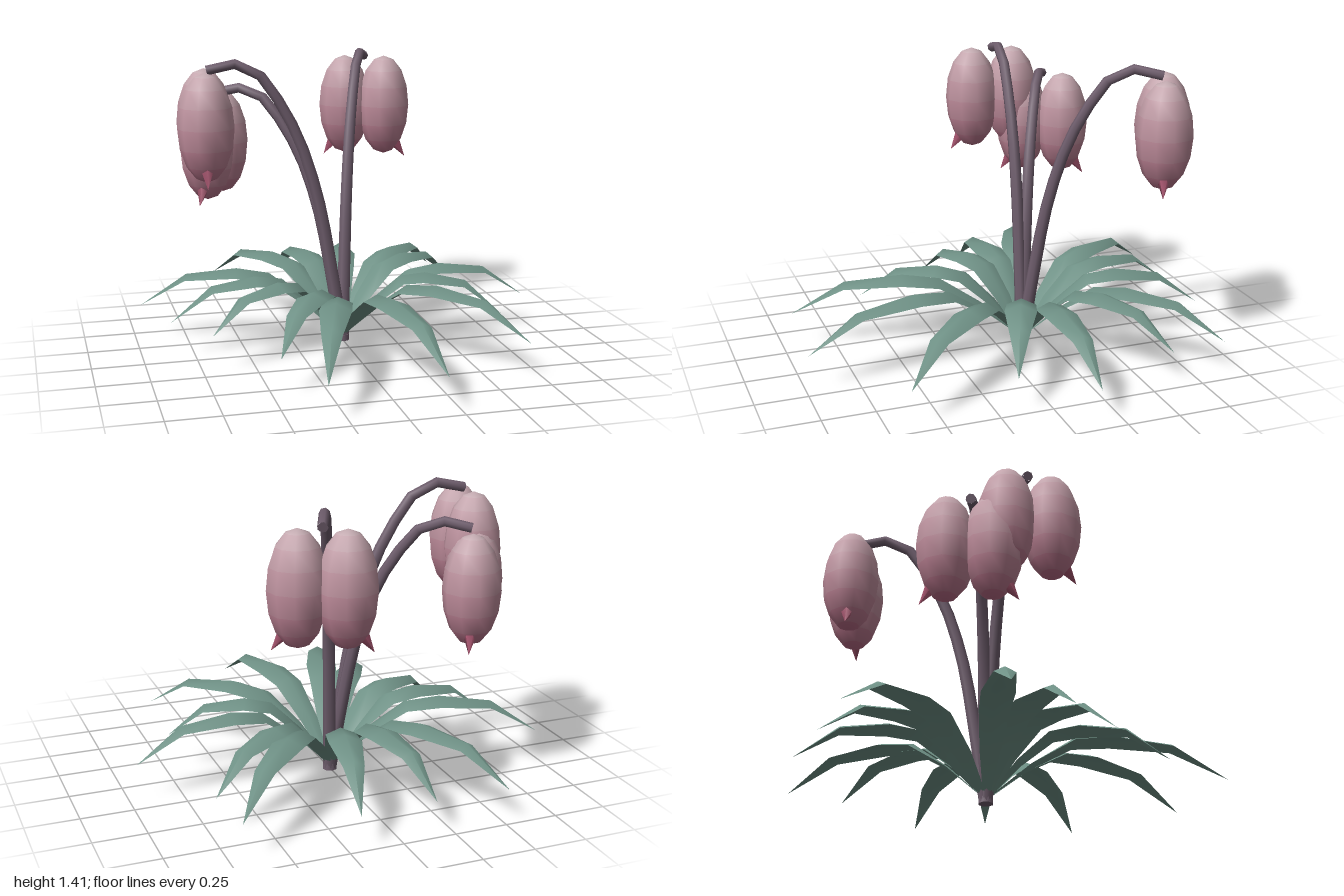
import * as THREE from 'three';

const BASE_Z = -0.14; // all leaves and stems grow from (0, 0, BASE_Z)

const leafMaterial = new THREE.MeshStandardMaterial({ color: 0x6f9186, side: THREE.DoubleSide });
const stemMaterial = new THREE.MeshStandardMaterial({ color: 0x6e5d6c });
const tipMaterial = new THREE.MeshStandardMaterial({ color: 0xa85670 });

// Bell colours fade from pale at the top to pink at the bottom, one per row
const BELL_ROWS = 8;
const bellMaterials = Array.from({ length: BELL_ROWS }, (_, i) => new THREE.MeshStandardMaterial({
  color: new THREE.Color(0xc6adb3).lerp(new THREE.Color(0xb86a85), i / (BELL_ROWS - 1)),
}));

// Leaf tips on the ground plan (x, z)
const LEAF_TIPS = [
  [-0.51, -1.0], [-0.16, -0.99], [0.2, -1.0], [0.69, -0.89], [0.72, -0.61],
  [0.96, -0.14], [0.73, 0.16], [0.69, 0.64], [0.18, 0.98], [-0.34, 0.95],
  [-0.46, 0.57], [-0.7, 0.17], [-0.86, -0.1], [-0.97, -0.44],
];

// Leaf stations: fraction of length, height, half width, drop of the edges below the ridge
const LEAF_STATIONS = [
  [0, 0.02, 0.012, 0], [0.18, 0.2, 0.048, 0.01], [0.36, 0.34, 0.07, 0.03],
  [0.52, 0.362, 0.076, 0.035], [0.77, 0.33, 0.048, 0.025], [1, 0.165, 0, 0],
];

// Stem arch: distance outward, height
const STEM_PROFILE = [
  [0, 0.01], [0.05, 0.34], [0.12, 0.73], [0.21, 1.02],
  [0.32, 1.23], [0.42, 1.355], [0.53, 1.39], [0.65, 1.36],
];

// Arching leaf with a raised midrib, running along +x
function leafGeometry(length) {
  const positions = [];
  const index = [];
  LEAF_STATIONS.forEach(([t, y, w, drop], i) => {
    const x = t * length;
    positions.push(x, y - drop, -w, x, y, 0, x, y - drop, w);
    if (i === 0) return;
    for (let k = 0; k < 2; k++) {
      const a = (i - 1) * 3 + k;
      index.push(a, a + 1, a + 3, a + 1, a + 4, a + 3);
    }
  });
  const geometry = new THREE.BufferGeometry();
  geometry.setAttribute('position', new THREE.Float32BufferAttribute(positions, 3));
  geometry.setIndex(index);
  geometry.computeVertexNormals();
  return geometry;
}

// Tapered tube that follows the arch
function createStem(heightScale) {
  const group = new THREE.Group();
  group.name = 'stem';
  const curve = new THREE.CatmullRomCurve3(
    STEM_PROFILE.map(([x, y]) => new THREE.Vector3(x, y * heightScale, 0)));
  const rings = 12, sides = 7;
  const geometry = new THREE.TubeGeometry(curve, rings, 0.033, sides);
  const position = geometry.attributes.position;
  const vertex = new THREE.Vector3();
  for (let i = 0; i < position.count; i++) {
    const t = Math.floor(i / (sides + 1)) / rings;
    const center = curve.getPointAt(t);
    vertex.fromBufferAttribute(position, i).sub(center).multiplyScalar(1 - 0.28 * t).add(center);
    position.setXYZ(i, vertex.x, vertex.y, vertex.z);
  }
  const tube = new THREE.Mesh(geometry, stemMaterial);
  tube.name = 'stemTube';

  // Flat end of the stem
  const cap = new THREE.Mesh(new THREE.CircleGeometry(0.024, sides), stemMaterial);
  cap.name = 'stemEnd';
  const end = curve.getPointAt(1);
  cap.position.copy(end);
  cap.lookAt(end.clone().add(curve.getTangentAt(1)));
  group.add(tube, cap);
  return group;
}

// Hanging bell with one pointed petal tip leaning towards side * z
function createBell(side) {
  const group = new THREE.Group();
  group.name = 'flower';
  const sides = 10;
  const geometry = new THREE.SphereGeometry(1, sides, BELL_ROWS).scale(0.135, 0.26, 0.135);
  geometry.clearGroups();
  let start = 0;
  for (let row = 0; row < BELL_ROWS; row++) {
    const count = sides * (row === 0 || row === BELL_ROWS - 1 ? 3 : 6);
    geometry.addGroup(start, count, row);
    start += count;
  }
  const bell = new THREE.Mesh(geometry, bellMaterials);
  bell.name = 'bell';

  const tip = new THREE.Mesh(new THREE.ConeGeometry(0.036, 0.11, 5), tipMaterial);
  tip.name = 'petalTip';
  const direction = new THREE.Vector3(0, -0.83, side * 0.56);
  tip.quaternion.setFromUnitVectors(new THREE.Vector3(0, 1, 0), direction.normalize());
  tip.position.set(0, -0.228, side * 0.084);
  group.add(bell, tip);
  return group;
}

export function createModel() {
  const model = new THREE.Group();
  model.name = 'bellFlowerPlant';

  // Rosette of leaves
  const leaves = new THREE.Group();
  leaves.name = 'leaves';
  leaves.position.z = BASE_Z;
  for (const [x, z] of LEAF_TIPS) {
    const dz = z - BASE_Z;
    const leaf = new THREE.Mesh(leafGeometry(Math.hypot(x, dz)), leafMaterial);
    leaf.name = 'leaf';
    leaf.rotation.y = -Math.atan2(dz, x);
    leaves.add(leaf);
  }
  model.add(leaves);

  // Root collar
  const collar = new THREE.Mesh(new THREE.CylinderGeometry(0.034, 0.036, 0.03, 8), stemMaterial);
  collar.name = 'rootCollar';
  collar.position.set(0, 0.015, BASE_Z);
  model.add(collar);

  // Three flower stalks, each with a pair of bells: outward direction (x, z), height scale
  for (const [x, z, scale] of [[0.275, -0.6, 1], [-0.645, -0.075, 1], [-0.57, -0.325, 0.9]]) {
    const stalk = new THREE.Group();
    stalk.name = 'flowerStalk';
    stalk.position.z = BASE_Z;
    stalk.rotation.y = -Math.atan2(z, x);
    stalk.add(createStem(scale));
    for (const side of [-1, 1]) {
      const bell = createBell(side);
      bell.position.set(0.66, 1.36 * scale - 0.26, side * 0.105);
      stalk.add(bell);
    }
    model.add(stalk);
  }
  return model;
}
